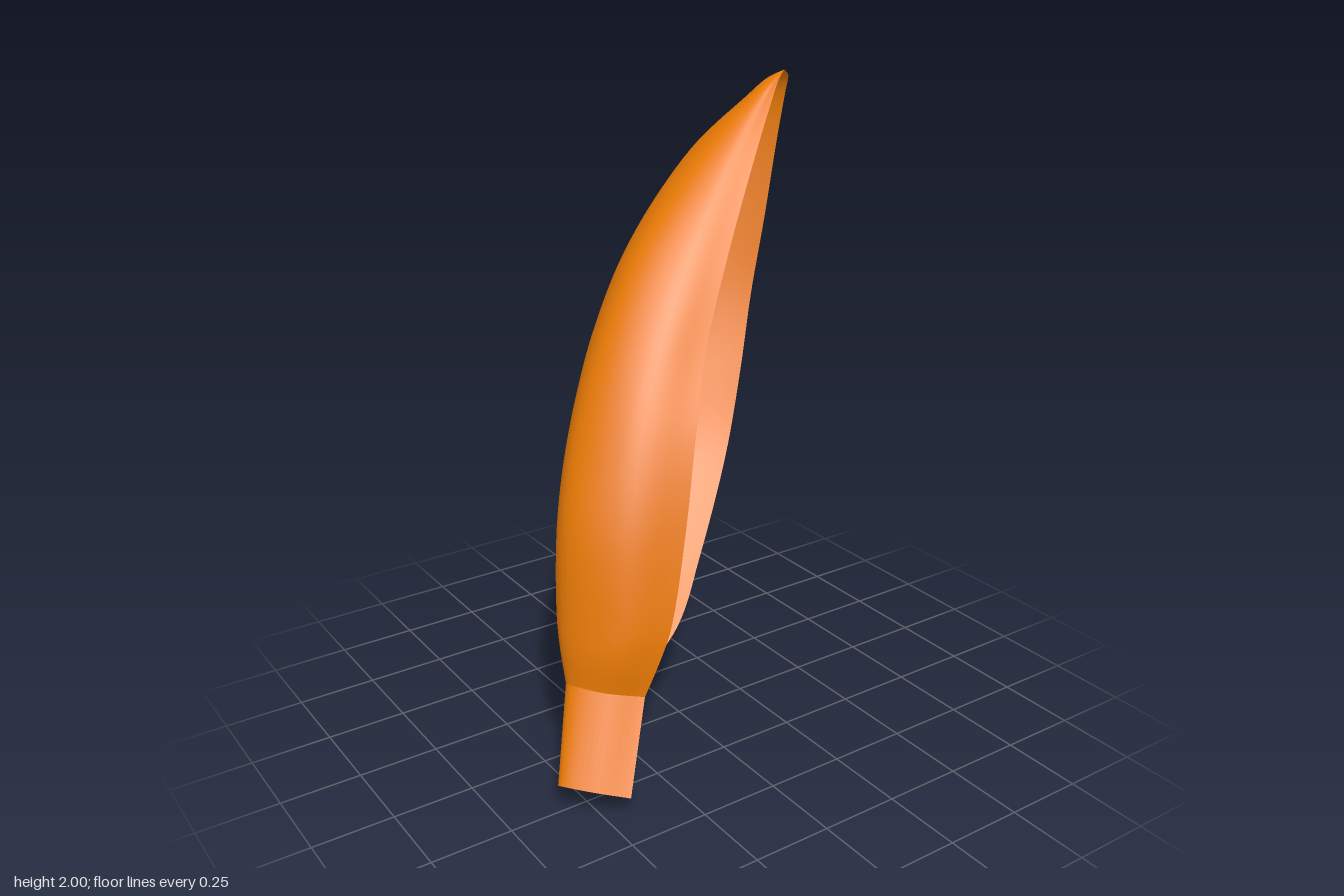
import * as THREE from 'three';

const V = (p) => new THREE.Vector3(...p);

// Cross-sections of the shell from the stem joint to the tip.
// Each runs from the front rim, round the back, to the side rim.
const joint = [[-0.325, 0.32, 0.3], [-0.435, 0.345, 0.248], [-0.497, 0.348, 0.15], [-0.44, 0.305, 0.085], [-0.33, 0.265, 0.095], [-0.254, 0.243, 0.127]];
const stemEnd = [[-0.44, 0.075, 0.4], [-0.535, 0.097, 0.337], [-0.597, 0.1, 0.262], [-0.54, 0.045, 0.21], [-0.43, 0.018, 0.232], [-0.375, 0.002, 0.295]];
const tip = [0.53, 2, -0.2];
const level = (y, pts) => pts.map(([x, z]) => [x, y, z]);
const shellSections = [
  joint,
  [[-0.29, 0.42, 0.318], [-0.42, 0.44, 0.265], [-0.497, 0.44, 0.13], [-0.415, 0.41, 0.02], [-0.235, 0.385, 0.015], [-0.06, 0.37, 0.08]],
  level(0.53, [[-0.25, 0.325], [-0.4, 0.267], [-0.49, 0.11], [-0.38, -0.045], [-0.12, -0.095], [0.095, -0.02]]),
  level(0.8, [[-0.175, 0.29], [-0.35, 0.225], [-0.45, 0.06], [-0.29, -0.145], [0.05, -0.248], [0.29, -0.15]]),
  level(1.05, [[-0.1, 0.23], [-0.275, 0.153], [-0.36, -0.01], [-0.195, -0.22], [0.13, -0.335], [0.4, -0.225]]),
  level(1.28, [[0, 0.14], [-0.155, 0.083], [-0.242, -0.06], [-0.095, -0.28], [0.2, -0.385], [0.475, -0.275]]),
  level(1.52, [[0.14, 0.05], [0.012, 0], [-0.07, -0.12], [0.045, -0.31], [0.29, -0.397], [0.535, -0.29]]),
  level(1.77, [[0.315, -0.06], [0.235, -0.097], [0.192, -0.17], [0.255, -0.305], [0.42, -0.36], [0.575, -0.285]]),
  level(1.92, [[0.44, -0.143], [0.4, -0.155], [0.385, -0.187], [0.425, -0.255], [0.523, -0.292], [0.586, -0.262]]),
  level(1.975, [[0.49, -0.175], [0.473, -0.178], [0.468, -0.195], [0.49, -0.232], [0.535, -0.253], [0.575, -0.235]]),
  joint.map(() => tip),
];

// Smooth arc through one section
const arc = (points, n = 36) => new THREE.CatmullRomCurve3(points).getPoints(n);

// Surface between successive rows of points
function skin(rows) {
  const n = rows[0].length, index = [];
  for (let r = 0; r < rows.length - 1; r++) {
    for (let i = 0; i < n - 1; i++) {
      const a = r * n + i, b = a + n;
      index.push(a, b, a + 1, a + 1, b, b + 1);
    }
  }
  const g = new THREE.BufferGeometry().setFromPoints(rows.flat());
  g.setIndex(index);
  g.computeVertexNormals();
  return g;
}

// Section shrunk towards the middle of its straight side
function shrink(row, scale) {
  const centre = row[0].clone().lerp(row[row.length - 1], 0.5);
  return row.map((p) => centre.clone().lerp(p, scale));
}

export function createModel() {
  const orange = new THREE.MeshStandardMaterial({ color: 0xe97a06, side: THREE.DoubleSide });
  orange.name = 'orange';
  const dark = new THREE.MeshStandardMaterial({ color: 0x33373a, side: THREE.DoubleSide });
  dark.name = 'dark grey';

  const group = new THREE.Group();
  group.name = 'scoopedLeaf';
  const add = (name, geometry, material) => {
    const mesh = new THREE.Mesh(geometry, material);
    mesh.name = name;
    group.add(mesh);
  };

  // Hollow shell: lengthwise curves, joined across by arcs
  const lengthwise = joint.map((_, k) => new THREE.CatmullRomCurve3(shellSections.map((s) => V(s[k]))));
  const steps = 80, rows = [];
  for (let j = 0; j < steps; j++) rows.push(arc(lengthwise.map((c) => c.getPoint(j / steps))));
  rows.push(rows[0].map(() => V(tip)));
  add('shell', skin(rows), orange);

  // Stem: rounded back, flat front and closed lower end
  const top = arc(joint.map(V)), bottom = arc(stemEnd.map(V)), last = top.length - 1;
  add('stemBack', skin([bottom, top]), orange);
  add('stemFront', skin([[bottom[0], bottom[last]], [top[0], top[last]]]), orange);
  add('stemEnd', skin([bottom, shrink(bottom, 0)]), orange);

  // Dark plug at the bottom of the hollow, with an orange margin
  const plugEdge = shrink(top, 0.78);
  add('plugMargin', skin([top, plugEdge]), orange);
  add('stemPlug', skin([plugEdge, shrink(top, 0)]), dark);

  return group;
}
